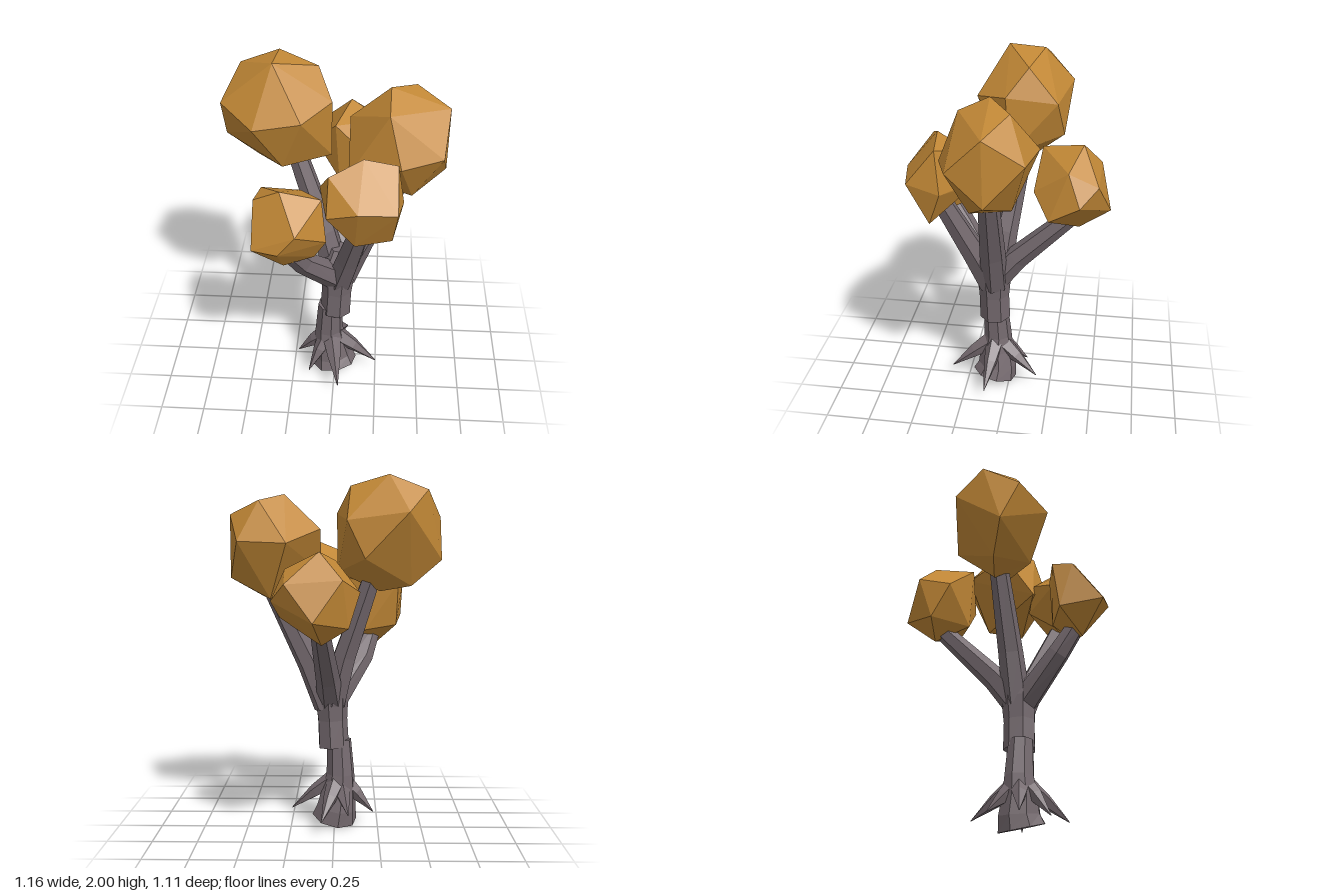
import * as THREE from 'three';
import { ConvexGeometry } from 'three/addons/geometries/ConvexGeometry.js';

const V = (a) => new THREE.Vector3(a[0], a[1], a[2]);

// Faceted limb: rings of `sides` corners along a path of [x, y, z, radius]
function limbGeometry(path, sides, twist = 0) {
  const pts = path.map(V), pos = [], index = [], n = path.length;
  const ref = new THREE.Vector3(0, 0, 1);
  for (let i = 0; i < n; i++) {
    const t = pts[Math.min(i + 1, n - 1)].clone().sub(pts[Math.max(i - 1, 0)]).normalize();
    const u = ref.clone().addScaledVector(t, -ref.dot(t)).normalize();
    const w = new THREE.Vector3().crossVectors(t, u);
    for (let j = 0; j < sides; j++) {
      const a = twist + (j / sides) * Math.PI * 2;
      const p = pts[i].clone()
        .addScaledVector(u, Math.cos(a) * path[i][3])
        .addScaledVector(w, Math.sin(a) * path[i][3]);
      pos.push(p.x, p.y, p.z);
    }
  }
  for (let i = 0; i < n - 1; i++) {
    for (let j = 0; j < sides; j++) {
      const a = i * sides + j, b = i * sides + (j + 1) % sides;
      index.push(a, b, b + sides, a, b + sides, a + sides);
    }
  }
  // end caps
  const top = (n - 1) * sides;
  for (let j = 1; j < sides - 1; j++) {
    index.push(0, j + 1, j, top, top + j, top + j + 1);
  }
  const g = new THREE.BufferGeometry();
  g.setAttribute('position', new THREE.Float32BufferAttribute(pos, 3));
  g.setIndex(index);
  const flat = g.toNonIndexed();
  flat.computeVertexNormals();
  return flat;
}

export function createModel() {
  const bark = new THREE.MeshStandardMaterial({ color: 0x756a6f });
  bark.name = 'greyBark';
  const leaf = new THREE.MeshStandardMaterial({ color: 0xc28836 });
  leaf.name = 'autumnLeaf';

  const tree = new THREE.Group();
  tree.name = 'tree';
  const add = (name, geometry, material) => {
    const mesh = new THREE.Mesh(geometry, material);
    mesh.name = name;
    tree.add(mesh);
  };

  // Trunk: leaning stump with a slanted cut, then a thicker upper length with a lip
  add('lowerTrunk', limbGeometry([
    [0, 0.036, 0.09, 0.132], [-0.012, 0.1, 0.076, 0.115], [-0.025, 0.2, 0.08, 0.098],
    [-0.035, 0.3, 0.075, 0.082], [-0.027, 0.5, 0.085, 0.07],
  ], 8, 0.2), bark);
  add('upperTrunk', limbGeometry([
    [0.006, 0.46, 0.083, 0.09], [0.014, 0.62, 0.086, 0.088],
    [0.02, 0.75, 0.085, 0.1], [0.022, 0.84, 0.085, 0.095], [0.025, 0.92, 0.085, 0.05],
  ], 7, 0.3), bark);

  // Branches, one under each clump
  const branches = [
    [[0.01, 0.72, 0.07, 0.08], [-0.06, 1.0, 0.03, 0.07], [-0.21, 1.45, -0.05, 0.054]],
    [[0.04, 0.7, 0.08, 0.08], [0.14, 0.95, 0.075, 0.073], [0.36, 1.4, 0.06, 0.054]],
    [[0.03, 0.7, 0.1, 0.08], [0.08, 0.92, 0.19, 0.072], [0.15, 1.25, 0.34, 0.056]],
    [[0.01, 0.72, 0.1, 0.08], [-0.165, 0.96, 0.28, 0.062], [-0.23, 1.13, 0.39, 0.05]],
    [[0.02, 0.72, 0.08, 0.08], [0.035, 0.88, -0.05, 0.068], [0.07, 1.19, -0.36, 0.05]],
  ];
  branches.forEach((path, i) => add('branch' + (i + 1), limbGeometry(path, 6, i * 0.4), bark));

  // Roots: pointed spikes splaying from the trunk
  const tips = [
    [0.25, 0.075, 0.12], [0.03, 0.08, 0.345], [-0.15, 0.07, 0.22],
    [-0.225, 0.075, 0.05], [-0.08, 0.1, -0.1], [0.07, 0.085, -0.17],
  ];
  tips.forEach(([x, y, z], i) => {
    const along = (t) => [-0.025 + (x + 0.025) * t, 0.08 + (z - 0.08) * t];
    const [ax, az] = along(0.13), [bx, bz] = along(0.5);
    add('root' + (i + 1), limbGeometry([
      [ax, 0.255, az, 0.056], [bx, 0.185, bz, 0.04], [x, y, z, 0.002],
    ], 5, i), bark);
  });

  // Foliage clumps: irregular faceted hulls, corners listed from top to bottom
  const clumps = {
    tallRightClump: [
      [-0.31, 2, 0.04], [-0.294, 1.99, -0.156], [-0.09, 1.934, -0.09], [-0.5, 1.91, -0.166],
      [-0.015, 1.79, 0.025], [-0.394, 1.79, -0.31], [-0.585, 1.77, 0.025], [-0.07, 1.75, -0.247],
      [-0.16, 1.75, 0.197], [-0.405, 1.71, 0.203], [-0.166, 1.55, -0.28], [-0.585, 1.54, -0.08],
      [-0.02, 1.47, 0], [-0.27, 1.46, 0.12], [-0.42, 1.4, -0.1], [-0.25, 1.37, -0.08],
    ],
    tallLeftClump: [
      [0.278, 1.897, 0.056], [0.41, 1.86, -0.06], [0.275, 1.82, 0.216], [0.58, 1.786, 0.053],
      [0.077, 1.706, 0.01], [0.52, 1.64, -0.147], [0.253, 1.63, -0.19], [0.55, 1.6, 0.24],
      [0.34, 1.574, 0.31], [0.075, 1.46, 0.18], [0.58, 1.436, 0.05],
      [0.405, 1.325, 0.15], [0.35, 1.325, -0.06],
    ],
    frontLeftClump: [
      [0.155, 1.66, 0.35], [0.325, 1.62, 0.335], [-0.013, 1.59, 0.41], [0.106, 1.53, 0.19],
      [-0.065, 1.45, 0.28], [0.135, 1.45, 0.525], [-0.02, 1.4, 0.49], [0.33, 1.43, 0.49],
      [0.28, 1.39, 0.25], [0.36, 1.39, 0.31], [0.16, 1.37, 0.165],
      [0.06, 1.235, 0.3], [0.31, 1.2, 0.38], [0.12, 1.17, 0.4],
    ],
    frontRightClump: [
      [-0.26, 1.47, 0.37], [-0.05, 1.43, 0.37], [-0.37, 1.4, 0.225], [-0.166, 1.4, 0.24],
      [-0.4, 1.39, 0.33], [-0.17, 1.32, 0.55], [-0.085, 1.28, 0.275], [-0.26, 1.21, 0.55],
      [-0.025, 1.21, 0.425], [-0.4, 1.19, 0.49], [-0.36, 1.15, 0.26],
      [-0.18, 1.12, 0.25], [-0.09, 1.08, 0.38], [-0.25, 1.03, 0.4],
    ],
    backClump: [
      [0.07, 1.59, -0.4], [-0.01, 1.54, -0.18], [0.25, 1.5, -0.334], [0.245, 1.43, -0.49],
      [-0.05, 1.45, -0.495], [-0.14, 1.38, -0.32], [0.18, 1.36, -0.152], [0.32, 1.34, -0.4],
      [0.1, 1.24, -0.555], [0.285, 1.24, -0.24], [-0.08, 1.2, -0.42],
      [0.01, 1.19, -0.2], [0.06, 1.11, -0.39],
    ],
  };
  for (const [name, corners] of Object.entries(clumps)) {
    add(name, new ConvexGeometry(corners.map(V)), leaf);
  }

  return tree;
}
